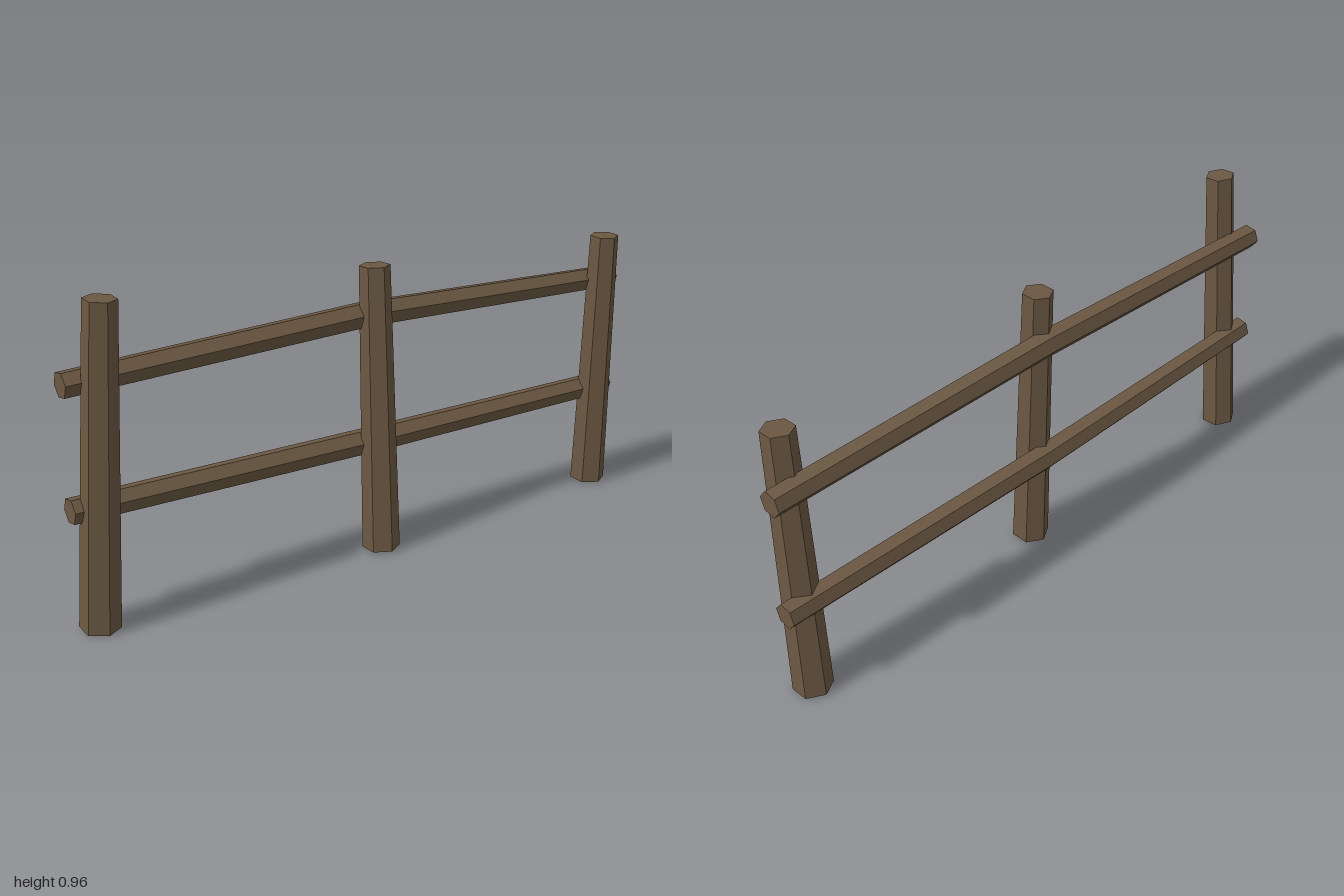
import * as THREE from 'three';

export function createModel() {
  const group = new THREE.Group();
  const wood = new THREE.MeshStandardMaterial({ color: 0x6b5842, flatShading: true });
  wood.name = 'weatheredWood';

  const add = (name, geometry) => {
    const flat = geometry.toNonIndexed();
    flat.computeVertexNormals();
    const mesh = new THREE.Mesh(flat, wood);
    mesh.name = name;
    group.add(mesh);
    return mesh;
  };

  // Tapered six-sided post leaning from its foot to its top
  const post = (name, foot, top) => {
    const a = new THREE.Vector3(...foot);
    const b = new THREE.Vector3(...top);
    const axis = b.clone().sub(a);
    const mesh = add(name, new THREE.CylinderGeometry(0.047, 0.059, axis.length(), 6));
    mesh.position.copy(a).add(b).multiplyScalar(0.5);
    mesh.quaternion.setFromUnitVectors(new THREE.Vector3(0, 1, 0), axis.normalize());
  };
  post('leftEndPost', [0.922, 0.004, -0.008], [0.91, 0.88, 0.024]);
  post('middlePost', [0, 0.004, 0.022], [-0.005, 0.908, -0.005]);
  post('rightEndPost', [-0.945, 0.004, -0.015], [-0.9, 0.96, 0.032]);

  // Six-sided rail along x, slightly rolled and bent at the middle post
  const rail = (name, heights) => {
    const geometry = new THREE.CylinderGeometry(1, 1, 2, 6, 2, false, THREE.MathUtils.degToRad(-10));
    geometry.rotateZ(-Math.PI / 2);
    const p = geometry.attributes.position;
    for (let i = 0; i < p.count; i++) {
      const x = Math.round(p.getX(i));
      const radius = x === 0 ? 0.042 : 0.039;
      const z = x === 0 ? -0.042 : -0.034;
      p.setXYZ(i, x, heights[x + 1] + p.getY(i) * radius, z + p.getZ(i) * radius);
    }
    add(name, geometry);
  };
  rail('upperRail', [0.725, 0.75, 0.718]);
  rail('lowerRail', [0.364, 0.341, 0.336]);

  return group;
}
